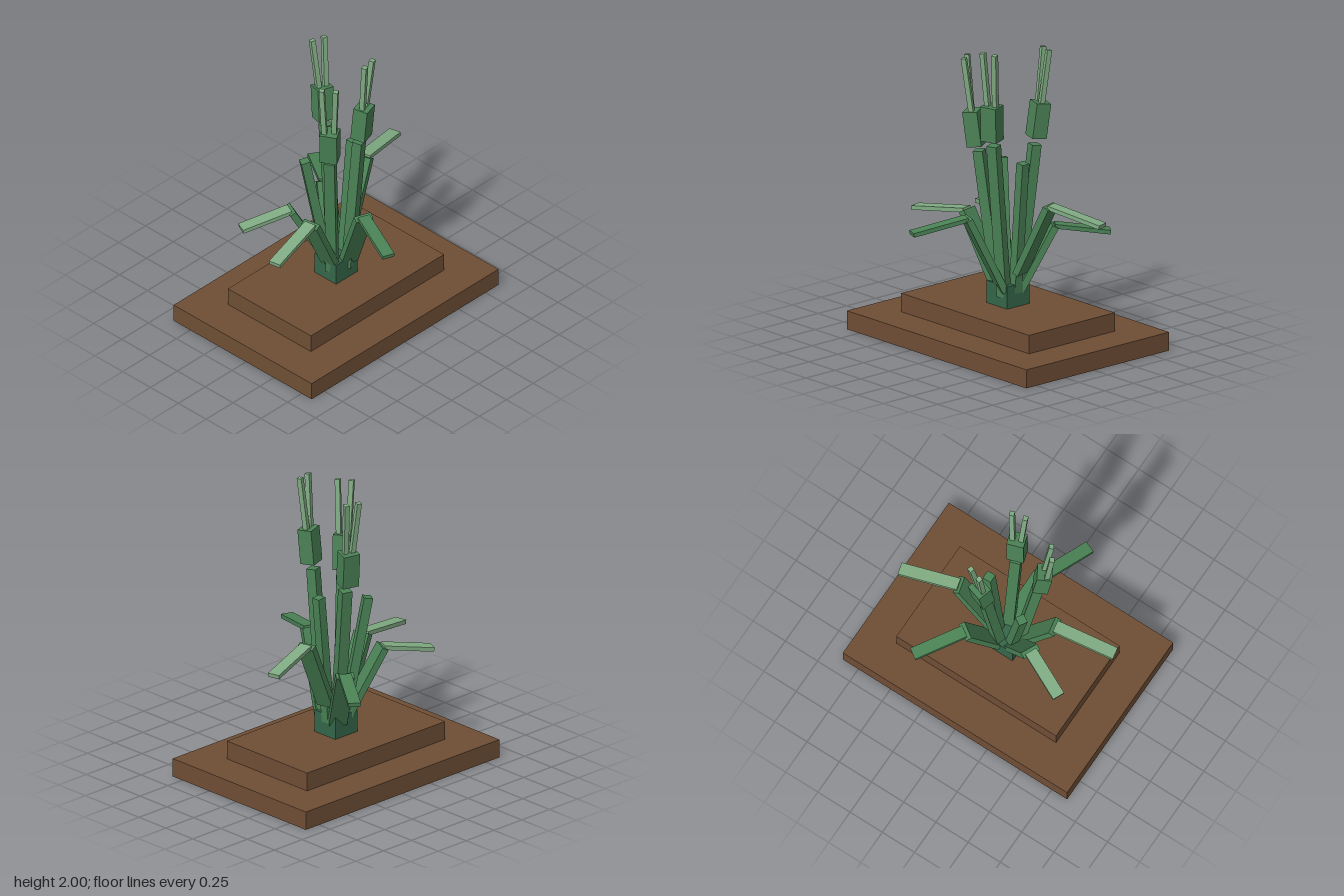
import * as THREE from 'three';

const mat = (name, color) => {
  const m = new THREE.MeshStandardMaterial({ color });
  m.name = name;
  return m;
};

export function createModel() {
  const root = new THREE.Group();
  root.name = 'pottedReeds';
  const soil = mat('soilBrown', 0x6f4e35);
  const dark = mat('darkGreen', 0x35664a);
  const green = mat('leafGreen', 0x4b8356);
  const light = mat('paleGreen', 0x80ac83);
  const V = (p) => new THREE.Vector3(...p);

  const block = (name, w, h, d, y, material) => {
    const m = new THREE.Mesh(new THREE.BoxGeometry(w, h, d), material);
    m.position.set(0, y + h / 2, -0.03);
    m.name = name;
    root.add(m);
  };

  // Square beam from a to b; its width axis stays close to the given side direction
  const beam = (parent, name, a, b, w, d, side, material) => {
    const p = V(a), q = V(b);
    const y = q.clone().sub(p);
    const len = y.length();
    y.normalize();
    const x = V(side);
    x.addScaledVector(y, -x.dot(y)).normalize();
    const z = x.clone().cross(y);
    const m = new THREE.Mesh(new THREE.BoxGeometry(w, len, d), material);
    m.quaternion.setFromRotationMatrix(new THREE.Matrix4().makeBasis(x, y, z));
    m.position.copy(p).add(q).multiplyScalar(0.5);
    m.name = name;
    parent.add(m);
  };

  // Stepped ground and the clump in its middle
  block('groundStep', 1.74, 0.125, 1.24, 0, soil);
  block('groundTop', 1.24, 0.125, 0.745, 0.125, soil);
  block('rootClump', 0.2, 0.15, 0.195, 0.25, dark);

  // Bent leaves: steep lower blade and drooping tip
  const leaves = [
    { foot: [0.1, 0.475, -0.045], knee: [0.335, 0.965, -0.1], tip: [0.725, 0.9, -0.2], tipMat: light },
    { foot: [0.045, 0.34, -0.09], knee: [0.165, 0.765, -0.285], tip: [0.37, 0.71, -0.585], tipMat: green },
    { foot: [-0.05, 0.35, -0.06], knee: [-0.275, 0.815, -0.18], tip: [-0.585, 0.755, -0.32], tipMat: light },
    { foot: [-0.06, 0.34, -0.01], knee: [-0.315, 0.83, 0.045], tip: [-0.73, 0.768, 0.122], tipMat: light },
    { foot: [0.035, 0.36, 0.045], knee: [-0.06, 0.87, 0.275], tip: [-0.195, 0.808, 0.63], tipMat: green },
  ];
  for (const { foot, knee, tip, tipMat } of leaves) {
    const leaf = new THREE.Group();
    leaf.name = 'leaf';
    const side = [tip[2] - knee[2], 0, knee[0] - tip[0]];
    beam(leaf, 'leafBlade', foot, knee, 0.12, 0.045, side, green);
    beam(leaf, 'leafTip', knee, tip, 0.083, 0.028, side, tipMat);
    root.add(leaf);
  }

  // Tall reeds: stem, floating seed head and two pale spikes
  const reeds = [
    { foot: [0.04, 0.32, 0.04], top: [0.045, 1.36, 0.135], head: [[0.048, 1.4, 0.15], [0.06, 1.638, 0.165]],
      side: [0.95, 0, -0.3], spikes: [[[0.034, 1.62, 0.175], [0.022, 1.995, 0.208]], [[0.085, 1.62, 0.155], [0.113, 1.995, 0.187]]] },
    { foot: [0.035, 0.32, -0.08], top: [0.075, 1.31, -0.195], head: [[0.07, 1.355, -0.21], [0.085, 1.59, -0.237]],
      side: [0.95, 0, 0.3], spikes: [[[0.058, 1.57, -0.24], [0.05, 1.945, -0.292]], [[0.105, 1.57, -0.225], [0.133, 1.945, -0.265]]] },
    { foot: [-0.065, 0.32, 0], top: [-0.163, 1.27, 0.075], head: [[-0.175, 1.305, 0.085], [-0.197, 1.54, 0.105]],
      side: [0.5, 0, 0.86], spikes: [[[-0.225, 1.52, 0.085], [-0.26, 1.9, 0.093]], [[-0.177, 1.52, 0.125], [-0.207, 1.9, 0.168]]] },
  ];
  for (const { foot, top, head, side, spikes } of reeds) {
    const reed = new THREE.Group();
    reed.name = 'reed';
    beam(reed, 'reedStem', foot, top, 0.072, 0.066, side, green);
    beam(reed, 'seedHead', head[0], head[1], 0.115, 0.1, side, green);
    for (const [a, b] of spikes) beam(reed, 'spike', a, b, 0.033, 0.033, side, light);
    root.add(reed);
  }

  // Short bare shoots
  beam(root, 'shootLeft', [0.07, 0.34, -0.03], [0.15, 1.23, -0.025], 0.06, 0.06, [1, 0, 0], green);
  beam(root, 'shootRight', [-0.045, 0.34, -0.06], [-0.178, 1.175, -0.14], 0.06, 0.06, [0.85, 0, 0.5], green);

  return root;
}
